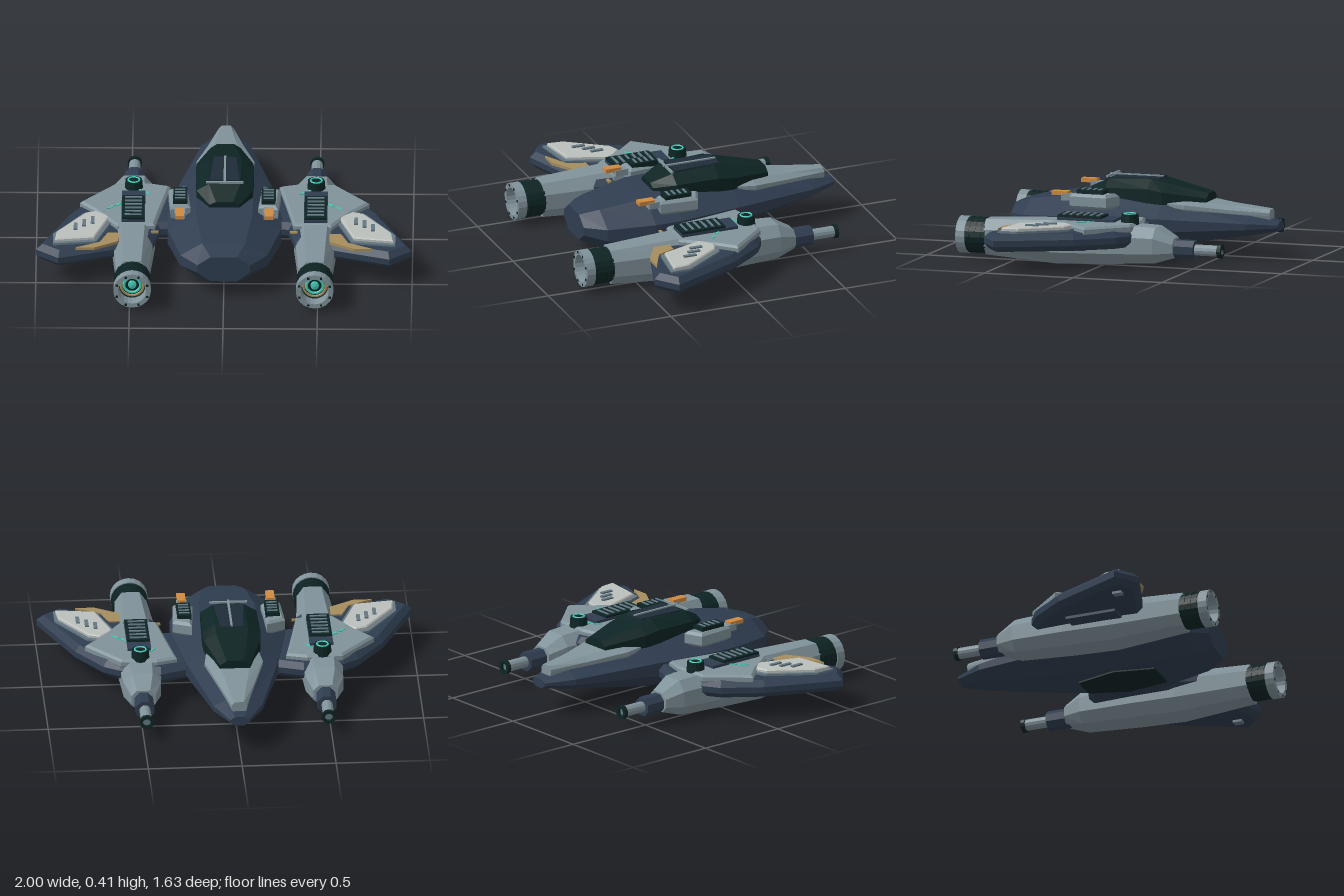
import * as THREE from 'three';

const mat = (name, color) => {
  const m = new THREE.MeshStandardMaterial({ color });
  m.name = name;
  return m;
};

export function createModel() {
  const blue = mat('navy hull', 0x2f3d50), grey = mat('grey armour', 0x80929a);
  const dark = mat('dark trim', 0x0e2424), pale = mat('pale panel', 0xbcc0bd);
  const tan = mat('tan panel', 0xa58d5e), orange = mat('orange light', 0xd08a42);
  const cyan = mat('cyan glow', 0x45cdb8), glass = mat('canopy panel', 0x1f2d38);
  const slate = mat('slate slot', 0x647782);
  const ship = new THREE.Group();
  ship.name = 'spacecraft';

  const add = (parent, name, geo, material, x = 0, y = 0, z = 0) => {
    const g = geo.index ? geo.toNonIndexed() : geo;
    g.computeVertexNormals();
    const mesh = new THREE.Mesh(g, material);
    mesh.name = name;
    mesh.position.set(x, y, z);
    parent.add(mesh);
    return mesh;
  };

  // Eight-sided hull from rows of [z, half width, bottom, top]
  const loft = (rows, topW = 0.5, botW = 0.5, lo = 0.36, hi = 0.66) => {
    const rings = rows.map(([z, w, y0, y1]) => {
      const h = y1 - y0, a = y0 + h * lo, b = y0 + h * hi;
      return [[w * botW, y0], [w, a], [w, b], [w * topW, y1],
        [-w * topW, y1], [-w, b], [-w, a], [-w * botW, y0]].map(([x, y]) => [x, y, z]);
    });
    const out = [];
    const tri = (...p) => p.forEach((v) => out.push(...v));
    for (let i = 0; i < rings.length - 1; i++) {
      for (let j = 0; j < 8; j++) {
        const k = (j + 1) % 8, p = rings[i], q = rings[i + 1];
        tri(p[j], p[k], q[k]);
        tri(p[j], q[k], q[j]);
      }
    }
    const first = rings[0], last = rings[rings.length - 1];
    for (let j = 1; j < 7; j++) {
      tri(first[0], first[j + 1], first[j]);
      tri(last[0], last[j], last[j + 1]);
    }
    const g = new THREE.BufferGeometry();
    g.setAttribute('position', new THREE.Float32BufferAttribute(out, 3));
    return g;
  };

  // Horizontal plate from an [x, z] outline, mirrored by s
  const plate = (pts, y0, y1, s = 1, bevel = 0) => {
    const shape = new THREE.Shape(pts.map(([x, z]) => new THREE.Vector2(x * s, -z)));
    const g = new THREE.ExtrudeGeometry(shape, {
      depth: y1 - y0 - 2 * bevel, bevelEnabled: bevel > 0, bevelThickness: bevel,
      bevelSize: bevel, bevelOffset: -bevel, bevelSegments: 1,
    });
    return g.rotateX(-Math.PI / 2).translate(0, y0 + bevel, 0);
  };
  const box = (x, y, z) => new THREE.BoxGeometry(x, y, z);
  // Solid of revolution along z from [radius, z] points
  const turned = (pts, sides = 20) => new THREE.LatheGeometry(
    pts.map(([r, z]) => new THREE.Vector2(r, z)), sides).rotateX(Math.PI / 2);

  // Central body
  add(ship, 'fuselage', loft([
    [-0.82, 0.05, 0.155, 0.205], [-0.67, 0.13, 0.13, 0.235], [-0.2, 0.245, 0.06, 0.3],
    [0.15, 0.305, 0.03, 0.32], [0.3, 0.3, 0.03, 0.315], [0.55, 0.23, 0.06, 0.275],
    [0.65, 0.14, 0.1, 0.245]]), blue);
  add(ship, 'nosePlate', loft([
    [-0.77, 0.04, 0.215, 0.268], [-0.55, 0.095, 0.225, 0.285], [-0.33, 0.155, 0.24, 0.31],
    [-0.15, 0.13, 0.25, 0.318]], 0.6, 0.9), grey);
  add(ship, 'bellyPanel', plate([[-0.07, -0.12], [0.07, -0.12], [0.13, 0.1], [0.09, 0.32],
    [-0.09, 0.32], [-0.13, 0.1]], 0.022, 0.031), dark);

  // Canopy with roof panel and T-shaped rail
  add(ship, 'canopy', loft([
    [-0.43, 0.08, 0.27, 0.342], [-0.2, 0.15, 0.27, 0.39], [-0.12, 0.155, 0.27, 0.41],
    [0.12, 0.15, 0.28, 0.4], [0.23, 0.08, 0.3, 0.35]], 0.56, 1), dark);
  add(ship, 'canopyPanel', plate([[-0.06, -0.16], [0.06, -0.16], [0.08, 0.1], [-0.08, 0.1]],
    0.403, 0.412), glass);
  add(ship, 'canopyRail', box(0.012, 0.008, 0.3), grey, 0, 0.415, -0.01);
  add(ship, 'canopyCrossbar', box(0.2, 0.01, 0.012), grey, 0, 0.412, 0.125);

  for (const s of [1, -1]) {
    const side = s > 0 ? 'left' : 'right';
    const half = new THREE.Group();
    half.name = side + 'Side';
    ship.add(half);
    const nx = 0.485 * s;

    // Wing slab with armour plates on top
    add(half, 'wing', plate([[0.2, -0.18], [0.38, -0.24], [0.6, -0.18], [0.68, -0.13], [0.82, 0.06],
      [1.0, 0.45], [0.88, 0.545], [0.56, 0.44], [0.38, 0.38], [0.34, 0.22], [0.2, 0.2]],
      0.115, 0.208, s, 0.03), blue);
    add(half, 'wingShoulder', plate([[0.29, -0.16], [0.4, -0.19], [0.59, -0.18], [0.77, 0.02],
      [0.68, 0.12], [0.57, 0.28], [0.37, 0.27], [0.33, 0.05]], 0.19, 0.238, s, 0.012), grey);
    add(half, 'palePanelBase', plate([[0.69, 0.1], [0.59, 0.18], [0.68, 0.43], [0.91, 0.46],
      [0.91, 0.35], [0.75, 0.12]], 0.2, 0.219, s), slate);
    add(half, 'palePanel', plate([[0.68, 0.12], [0.61, 0.18], [0.69, 0.41], [0.9, 0.44],
      [0.89, 0.35], [0.74, 0.14]], 0.21, 0.237, s, 0.006), pale);
    for (const [x, z] of [[0.7, 0.235], [0.745, 0.265], [0.79, 0.305]]) {
      add(half, 'wingSlot', box(0.02, 0.012, 0.07), slate, x * s, 0.239, z);
    }
    add(half, 'tanPanel', plate([[0.56, 0.33], [0.56, 0.42], [0.69, 0.495], [0.79, 0.495],
      [0.66, 0.43], [0.62, 0.33]], 0.2, 0.216, s), tan);
    add(half, 'rootMarker', box(0.04, 0.01, 0.015), tan, 0.37 * s, 0.206, 0.3);
    add(half, 'wingSkid', box(0.04, 0.02, 0.05), slate, 0.87 * s, 0.112, 0.42);
    add(half, 'underwingRib', box(0.1, 0.03, 0.28), blue, 0.64 * s, 0.115, 0.19);

    // Engine nacelle
    add(half, 'nacelle', loft([
      [-0.4, 0.065, 0.06, 0.165], [-0.3, 0.1, 0.03, 0.22], [0.0, 0.115, 0.014, 0.232],
      [0.25, 0.115, 0.004, 0.235], [0.655, 0.085, 0.03, 0.22]], 0.55, 0.6, 0.28, 0.72)
      .translate(nx, 0, 0), grey);
    add(half, 'exhaustCollar', turned([[0, 0.65], [0.095, 0.65], [0.095, 0.765], [0.076, 0.765],
      [0.07, 0.73], [0, 0.73]]), dark, nx, 0.125);
    for (const z of [0.675, 0.71, 0.745]) {
      add(half, 'collarRib', turned([[0.09, z - 0.008], [0.098, z - 0.008], [0.098, z + 0.008],
        [0.09, z + 0.008]]), dark, nx, 0.125);
    }
    add(half, 'exhaustRing', turned([[0.09, 0.76], [0.1, 0.76], [0.1, 0.81], [0.075, 0.81],
      [0.07, 0.755]]), grey, nx, 0.125);
    add(half, 'exhaustTanRing', new THREE.TorusGeometry(0.06, 0.007, 6, 24), tan, nx, 0.125, 0.745);
    add(half, 'exhaustGlowRing', new THREE.TorusGeometry(0.044, 0.008, 6, 24), cyan, nx, 0.125, 0.74);
    add(half, 'exhaustCore', turned([[0.022, 0.73], [0.022, 0.745], [0, 0.75]], 12), cyan, nx, 0.125);
    for (let i = 0; i < 8; i++) {
      const a = (i + 0.5) * Math.PI / 4;
      add(half, 'ringBolt', box(0.012, 0.012, 0.006), dark,
        nx + Math.cos(a) * 0.088, 0.125 + Math.sin(a) * 0.088, 0.81);
    }

    // Forward cannon
    add(half, 'cannonMount', turned([[0, -0.51], [0.054, -0.51], [0.054, -0.38], [0, -0.38]], 8)
      .rotateZ(Math.PI / 8), blue, nx, 0.105);
    add(half, 'cannonBarrel', turned([[0.03, -0.645], [0.03, -0.5]], 12), grey, nx, 0.105);
    add(half, 'cannonMuzzle', turned([[0.022, -0.64], [0.022, -0.66], [0.038, -0.66],
      [0.038, -0.638], [0, -0.638]], 12), dark, nx, 0.105);
    add(half, 'cannonBore', turned([[0, -0.643], [0.023, -0.643], [0.023, -0.64]], 12), slate, nx, 0.105);

    // Vent and round sensor on top of the nacelle
    add(half, 'ventHousing', box(0.125, 0.03, 0.32), blue, nx, 0.238, 0.09);
    add(half, 'ventGrille', box(0.12, 0.03, 0.245), dark, nx, 0.25, 0.125);
    for (let i = 0; i < 6; i++) {
      add(half, 'ventSlat', box(0.09, 0.008, 0.012), slate, nx, 0.266, 0.028 + i * 0.038);
    }
    add(half, 'sensorBase', new THREE.CylinderGeometry(0.045, 0.05, 0.055, 14), dark, nx, 0.253, -0.14);
    add(half, 'sensorGlow', new THREE.TorusGeometry(0.03, 0.005, 6, 18).rotateX(Math.PI / 2),
      cyan, nx, 0.281, -0.14);
    // Zigzag glow marks
    const zigzag = [[-0.04, -0.03], [-0.01, -0.012], [-0.012, 0.004], [0.014, 0.008], [0.04, 0.04],
      [0.012, 0.026], [0.012, 0.012], [-0.02, 0.002]];
    for (const [x, z, turn] of [[0.435, -0.095, -1], [0.585, 0.07, 1]]) {
      add(half, 'glowMark', plate(zigzag, 0, 0.008, s * turn), cyan, x * s, 0.235, z);
    }

    // Pod on the fuselage shoulder
    add(half, 'shoulderPod', plate([[0.2, 0.02], [0.3, 0.06], [0.285, 0.27], [0.18, 0.25]],
      0.26, 0.34, s, 0.015), grey);
    add(half, 'podVent', box(0.075, 0.03, 0.15), dark, 0.235 * s, 0.346, 0.16);
    for (let i = 0; i < 4; i++) {
      add(half, 'podSlat', box(0.055, 0.007, 0.012), slate, 0.235 * s, 0.361, 0.112 + i * 0.032);
    }
    add(half, 'podTail', box(0.055, 0.035, 0.09), grey, 0.237 * s, 0.315, 0.28);
    add(half, 'podLight', box(0.045, 0.022, 0.09), orange, 0.237 * s, 0.335, 0.335);
  }
  return ship;
}
